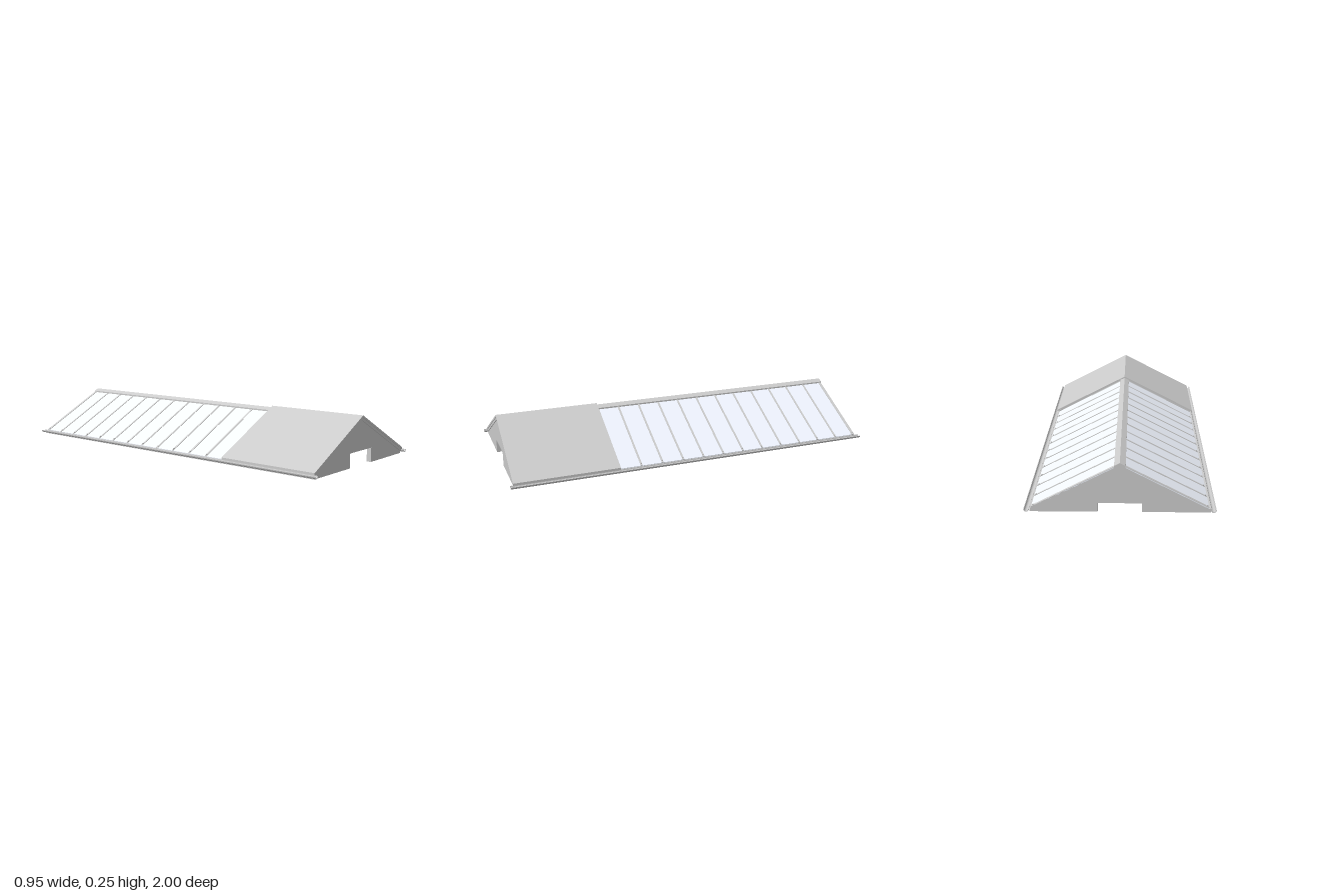
import * as THREE from 'three';

const grey = new THREE.MeshStandardMaterial({ color: 0xcccccc, flatShading: true });
const glass = new THREE.MeshStandardMaterial({ color: 0xf0f5ff, flatShading: true });

// Prism with an x-y profile running from z0 to z1
function prism(name, points, z0, z1, material = grey) {
  const shape = new THREE.Shape(points.map(([x, y]) => new THREE.Vector2(x, y)));
  const geometry = new THREE.ExtrudeGeometry(shape, { depth: z1 - z0, bevelEnabled: false });
  geometry.translate(0, 0, z0);
  const mesh = new THREE.Mesh(geometry, material);
  mesh.name = name;
  return mesh;
}

// Sloping slab on one side of the ridge: s = +1 or -1, top line y = apex - slope * x
function slope(name, s, apex, pitch, x0, x1, thick, z0, z1, material) {
  const y = x => apex - pitch * x;
  return prism(name, [
    [s * x0, y(x0) - thick], [s * x1, y(x1) - thick], [s * x1, y(x1)], [s * x0, y(x0)],
  ], z0, z1, material);
}

// Gable wall with a central opening cut from its base
function gable(name, apex, eave, doorHeight, z0, z1) {
  const w = 0.412, d = 0.101;
  return prism(name, [
    [-w, 0], [-d, 0], [-d, doorHeight], [d, doorHeight], [d, 0], [w, 0],
    [w, eave], [0, apex], [-w, eave],
  ], z0, z1);
}

export function createModel() {
  const model = new THREE.Group();
  model.name = 'roof';
  const body = new THREE.Group();
  body.name = 'roofBody';
  body.rotation.y = -0.038;
  model.add(body);

  const back = -0.963, split = 0.425, front = 0.969;
  const bars = 13, step = 0.115;

  // End walls
  body.add(gable('frontGable', 0.238, 0.023, 0.073, 0.938, 0.962));
  body.add(gable('backGable', 0.228, 0.014, 0.043, back, back + 0.02));

  for (const s of [-1, 1]) {
    // Solid front roof with its verge board
    body.add(slope('solidRoof', s, 0.247, 0.515, 0, 0.418, 0.011, split, front));
    body.add(slope('vergeBoard', s, 0.237, 0.515, 0, 0.414, 0.015, 0.955, front - 0.003));
    body.add(slope('innerFrame', s, 0.237, 0.515, 0, 0.405, 0.02, split, split + 0.012));

    // Glazed roof and its rafters
    body.add(slope('glazing', s, 0.232, 0.52, 0.01, 0.405, 0.004, back, split, glass));
    for (let i = 0; i < bars; i++) {
      const z = split - i * step;
      const half = i === bars - 1 ? 0.008 : 0.005;
      body.add(slope('glazingBar', s, 0.2345, 0.52, 0, 0.405, 0.018, z - half, z + half));
      const bolt = new THREE.Mesh(new THREE.CylinderGeometry(0.004, 0.004, 0.005, 8), grey);
      bolt.name = 'barBolt';
      bolt.position.set(s * 0.396, 0.03, z);
      bolt.rotation.z = -s * Math.atan(0.52);
      body.add(bolt);
    }

    // Ridge capping
    body.add(slope('ridgeCap', s, 0.239, 0.5, 0, 0.026, 0.012, back - 0.002, split));

    // Wall plate under the eaves
    const plate = new THREE.Mesh(new THREE.BoxGeometry(0.018, 0.018, 1.925), grey);
    plate.name = 'wallPlate';
    plate.position.set(s * 0.403, 0.009, 0);
    body.add(plate);

    // Half-round gutter, open at the top
    const profile = [];
    const n = 8;
    for (let i = 0; i <= n; i++) {
      const a = Math.PI + Math.PI * i / n;
      profile.push([s * 0.424 + Math.cos(a) * 0.013, 0.02 + Math.sin(a) * 0.013]);
    }
    for (let i = n; i >= 0; i--) {
      const a = Math.PI + Math.PI * i / n;
      profile.push([s * 0.424 + Math.cos(a) * 0.01, 0.02 + Math.sin(a) * 0.01]);
    }
    body.add(prism('gutter', profile, -0.983, 0.983));
  }

  // Beam beneath the ridge
  const beam = new THREE.Mesh(new THREE.BoxGeometry(0.016, 0.02, split - back - 0.01), grey);
  beam.name = 'ridgeBeam';
  beam.position.set(0, 0.215, (split + back) / 2);
  body.add(beam);

  return model;
}
